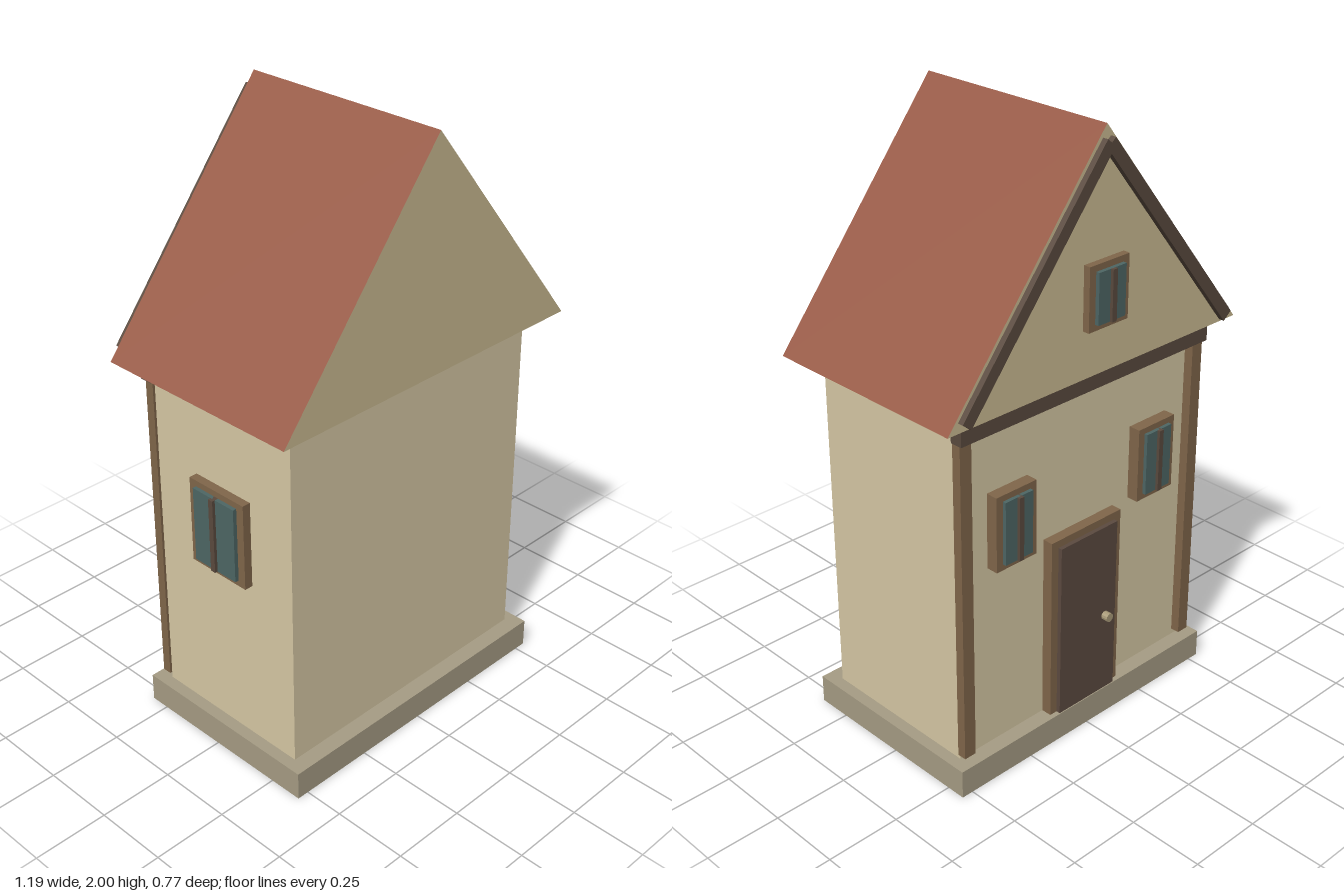
import * as THREE from 'three';

const material = (color) => new THREE.MeshStandardMaterial({ color, flatShading: true });
const wallTan = material(0xd6c8a4), gableTan = material(0xcbbb92), stone = material(0xa69c84);
const roofRed = material(0x985a46), oak = material(0x80664a), darkOak = material(0x5a4a3e);
const doorBrown = material(0x5c4a40), glassBlue = material(0x4d6664), brass = material(0xa89a78);

// Box given by its [min, max] range on each axis
function box(parent, name, mat, [x0, x1], [y0, y1], [z0, z1]) {
  const mesh = new THREE.Mesh(new THREE.BoxGeometry(x1 - x0, y1 - y0, z1 - z0), mat);
  mesh.position.set((x0 + x1) / 2, (y0 + y1) / 2, (z0 + z1) / 2);
  mesh.name = name;
  parent.add(mesh);
  return mesh;
}

// Window facing +z, its back on z = 0: frame, glass and upright bar
function makeWindow(name, width, height, frameDepth, glassDepth, barDepth, border) {
  const g = new THREE.Group();
  g.name = name;
  const w = width / 2, h = height / 2, gw = w - border, gh = h - 0.02;
  box(g, 'windowFrame', oak, [-w, w], [-h, h], [0, frameDepth]);
  box(g, 'windowGlass', glassBlue, [-gw, gw], [-gh, gh], [0, glassDepth]);
  box(g, 'windowBar', darkOak, [-0.009, 0.009], [-gh, gh], [0, barDepth]);
  return g;
}

export function createModel() {
  const house = new THREE.Group();
  house.name = 'house';

  // Plinth and walls
  box(house, 'base', stone, [-0.54, 0.54], [0, 0.095], [-0.315, 0.365]);
  box(house, 'walls', wallTan, [-0.5, 0.5], [0.095, 1.26], [-0.262, 0.31]);

  // Solid gable prism
  const eaveX = 0.594, eaveY = 1.26, ridgeY = 2, backZ = -0.342, frontZ = 0.385;
  const triangle = new THREE.Shape();
  triangle.moveTo(-eaveX, eaveY).lineTo(eaveX, eaveY).lineTo(0, ridgeY).closePath();
  const prism = new THREE.ExtrudeGeometry(triangle, { depth: frontZ - backZ, bevelEnabled: false });
  const roof = new THREE.Mesh(prism, [gableTan, roofRed]);
  roof.position.z = backZ;
  roof.name = 'roofAndGables';
  house.add(roof);

  // Timber corner posts and sloping gable boards, mirrored
  for (const s of [-1, 1]) {
    const [a, b] = [s * 0.465, s * 0.508].sort((p, q) => p - q);
    box(house, 'cornerPost', oak, [a, b], [0.115, 1.25], [-0.293, -0.262]);

    const foot = new THREE.Vector2(s * 0.54, 1.28), top = new THREE.Vector2(0, 1.95);
    const run = top.clone().sub(foot);
    const board = new THREE.Mesh(new THREE.BoxGeometry(run.length(), 0.04, 0.02), darkOak);
    board.position.set((foot.x + top.x) / 2, (foot.y + top.y) / 2, -0.351);
    board.rotation.z = Math.atan2(run.y, run.x);
    board.name = 'gableBoard';
    house.add(board);
  }
  box(house, 'crossBeam', darkOak, [-0.514, 0.514], [1.188, 1.245], [-0.306, -0.264]);

  // Door with frame and round knob
  box(house, 'doorFrame', oak, [-0.15, 0.15], [0.095, 0.725], [-0.298, -0.26]);
  box(house, 'door', doorBrown, [-0.122, 0.122], [0.095, 0.7], [-0.312, -0.27]);
  const knob = new THREE.Mesh(new THREE.CylinderGeometry(0.015, 0.015, 0.026, 12), brass);
  knob.rotation.x = Math.PI / 2;
  knob.position.set(-0.075, 0.375, -0.322);
  knob.name = 'doorKnob';
  house.add(knob);

  // Windows beside the door, in the gable and on the right wall
  for (const x of [-0.3, 0.3]) {
    const lower = makeWindow('lowerWindow', 0.16, 0.25, 0.042, 0.054, 0.064, 0.025);
    lower.rotation.y = Math.PI;
    lower.position.set(x, 0.85, -0.26);
    house.add(lower);
  }
  const attic = makeWindow('gableWindow', 0.16, 0.2, 0.024, 0.037, 0.047, 0.025);
  attic.rotation.y = Math.PI;
  attic.position.set(0, 1.513, -0.341);
  house.add(attic);
  const side = makeWindow('sideWindow', 0.23, 0.29, 0.03, 0.043, 0.053, 0.028);
  side.rotation.y = -Math.PI / 2;
  side.position.set(-0.498, 0.802, 0.025);
  house.add(side);

  return house;
}
